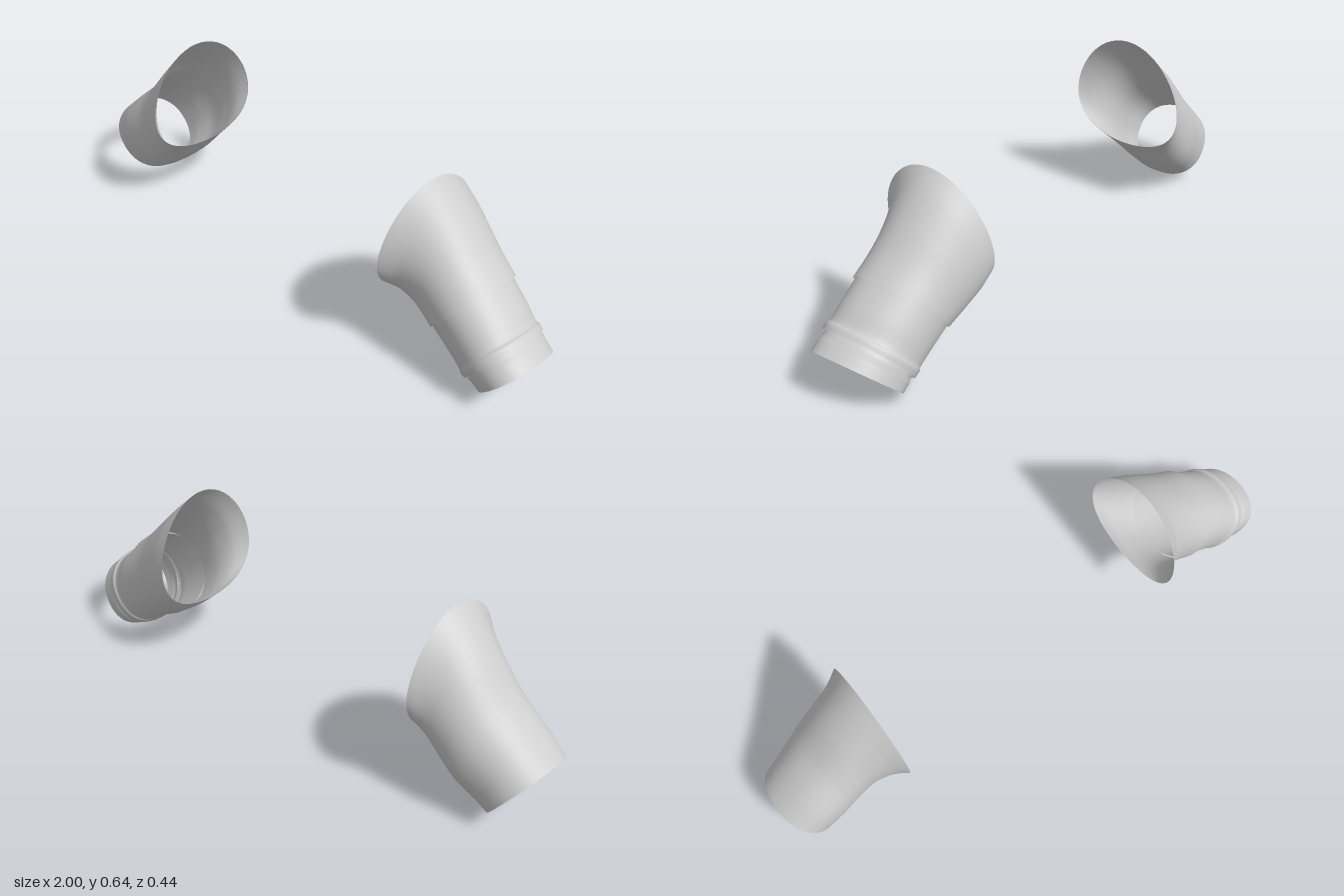
import * as THREE from 'three';

const fabric = new THREE.MeshStandardMaterial({ color: 0xcccccc, side: THREE.DoubleSide });
fabric.name = 'light grey fabric';

const SIDES = 56;

// Open cloth tube through rings of
// [top x, top y, bottom x, bottom y, back z, front z, egg, skew, squareness]
function clothTube(name, rings, steps, flip = false) {
  const curve = (a, b, c) => new THREE.CatmullRomCurve3(
    rings.map(r => new THREE.Vector3(r[a], r[b], r[c])));
  const curves = [curve(0, 1, 4), curve(2, 3, 5), curve(6, 7, 8)];
  const pos = [], index = [];
  const bend = (v, p) => Math.sign(v) * Math.abs(v) ** p;
  for (let i = 0; i <= steps; i++) {
    const [top, bot, form] = curves.map(c => c.getPoint(i / steps));
    const midZ = (top.z + bot.z) / 2, halfZ = (bot.z - top.z) / 2;
    for (let j = 0; j < SIDES; j++) {
      const t = (j / SIDES) * Math.PI * 2;
      const c = bend(Math.cos(t), form.z), s = bend(Math.sin(t), form.z);
      // the egg term lowers the widest line, the skew leans the ring in z
      const u = s - form.x * Math.cos(t) ** 2;
      const k = (u + 1) / 2;
      pos.push(
        bot.x + (top.x - bot.x) * k,
        bot.y + (top.y - bot.y) * k,
        midZ + halfZ * c + form.y * s);
    }
  }
  for (let i = 0; i < steps; i++) {
    for (let j = 0; j < SIDES; j++) {
      const a = i * SIDES + j, b = i * SIDES + (j + 1) % SIDES;
      const c = a + SIDES, d = b + SIDES;
      if (flip) index.push(a, b, c, b, d, c);
      else index.push(a, c, b, b, c, d);
    }
  }
  const geo = new THREE.BufferGeometry();
  geo.setAttribute('position', new THREE.Float32BufferAttribute(pos, 3));
  geo.setIndex(index);
  geo.computeVertexNormals();
  const mesh = new THREE.Mesh(geo, fabric);
  mesh.name = name;
  return mesh;
}

export function createModel() {
  const model = new THREE.Group();
  model.name = 'sleeves';

  // Plain one-piece sleeve
  const right = new THREE.Group();
  right.name = 'rightSleeve';
  right.add(clothTube('rightSleeveCloth', [
    [-0.60, 0.637, -0.585, 0.24, -0.21, 0.215, 0.2, 0.01, 1],
    [-0.655, 0.585, -0.625, 0.195, -0.188, 0.175, 0.15, 0.01, 0.97],
    [-0.73, 0.505, -0.675, 0.14, -0.18, 0.147, 0.1, 0.01, 0.93],
    [-0.82, 0.395, -0.735, 0.085, -0.175, 0.14, 0.05, 0.01, 0.9],
    [-0.91, 0.31, -0.785, 0.045, -0.16, 0.142, 0, 0.01, 0.9],
    [-1.0, 0.225, -0.83, 0.016, -0.15, 0.138, 0, 0.01, 0.9],
  ], 36, true));

  // Three overlapping pieces: upper sleeve, lower sleeve, cuff band
  const left = new THREE.Group();
  left.name = 'leftSleeve';
  left.add(clothTube('leftUpperSleeve', [
    [0.535, 0.627, 0.478, 0.23, -0.22, 0.2, 0.2, 0.01, 1],
    [0.595, 0.565, 0.51, 0.2, -0.213, 0.155, 0.15, 0.01, 0.97],
    [0.665, 0.49, 0.545, 0.175, -0.2, 0.135, 0.1, 0.01, 0.93],
    [0.735, 0.418, 0.58, 0.15, -0.187, 0.132, 0.05, 0.01, 0.9],
    [0.808, 0.356, 0.61, 0.128, -0.178, 0.137, 0, 0.01, 0.9],
  ], 30));
  left.add(clothTube('leftLowerSleeve', [
    [0.79, 0.358, 0.605, 0.142, -0.172, 0.13, 0, 0.01, 0.9],
    [0.87, 0.292, 0.69, 0.083, -0.163, 0.134, 0, 0.012, 0.9],
    [0.915, 0.25, 0.742, 0.045, -0.157, 0.137, 0, 0.015, 0.88],
    [0.928, 0.247, 0.752, 0.033, -0.16, 0.142, 0, 0.015, 0.88],
    [0.943, 0.234, 0.768, 0.023, -0.158, 0.14, 0, 0.015, 0.88],
  ], 24));
  left.add(clothTube('leftCuffBand', [
    [0.918, 0.238, 0.765, 0.04, -0.149, 0.129, 0, 0.02, 0.88],
    [0.96, 0.212, 0.79, 0.02, -0.15, 0.133, 0, 0.02, 0.88],
    [1.0, 0.182, 0.818, 0.0, -0.148, 0.132, 0, 0.022, 0.88],
  ], 10));

  model.add(right, left);
  return model;
}
